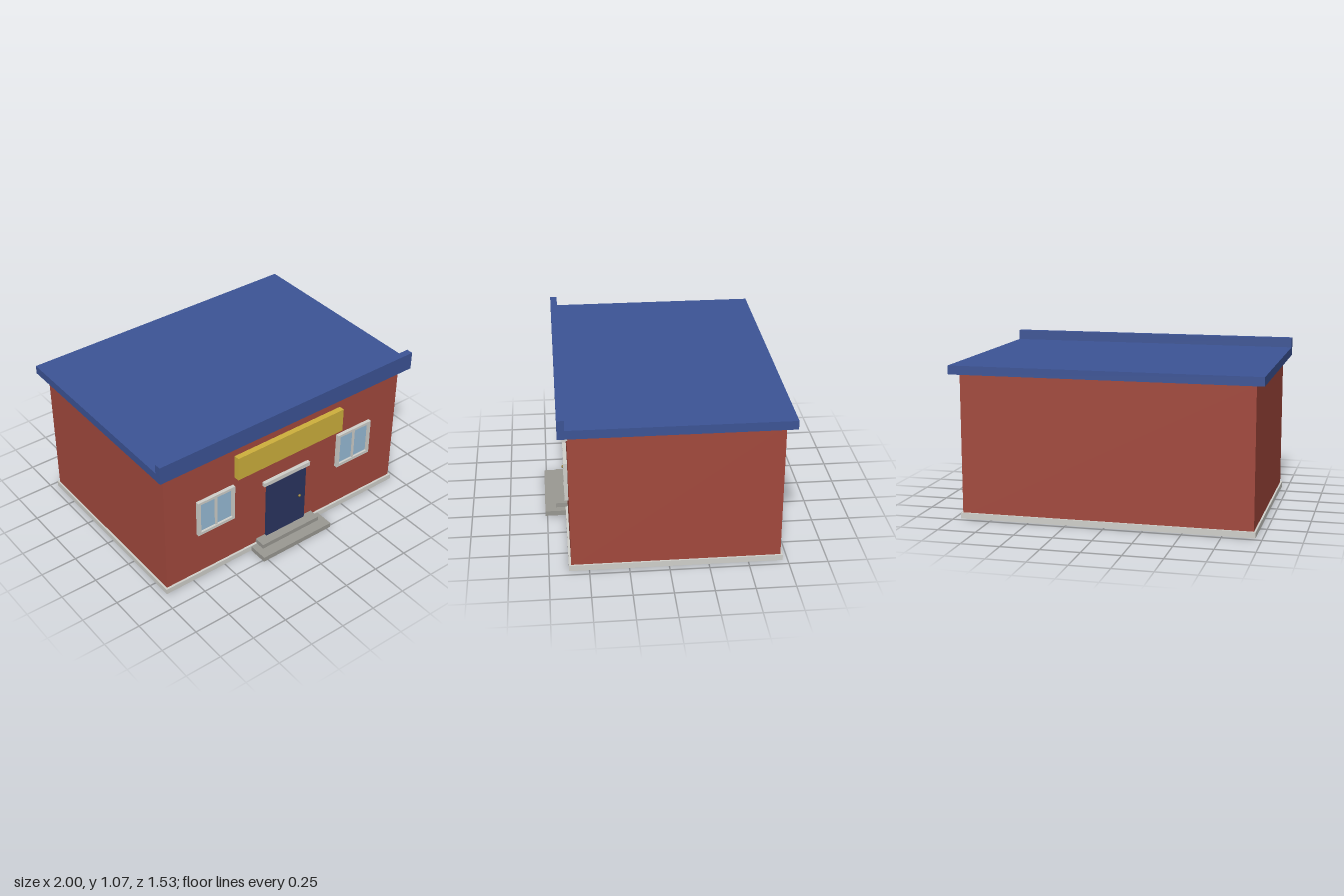
import * as THREE from 'three';

const mat = (color) => new THREE.MeshStandardMaterial({ color });

export function createModel() {
  const model = new THREE.Group();
  model.name = 'shopBuilding';

  const brick = mat(0xa3493d), blue = mat(0x3c5496), trim = mat(0xd0d0cb);
  const yellow = mat(0xceb03c), glass = mat(0x98bcd6), navy = mat(0x2a3560);
  const stone = mat(0x9a9993), brass = mat(0x8a7434);

  // Box given by its lower and upper limits on each axis
  function box(name, material, [x0, x1], [y0, y1], [z0, z1], parent = model) {
    const mesh = new THREE.Mesh(new THREE.BoxGeometry(x1 - x0, y1 - y0, z1 - z0), material);
    mesh.position.set((x0 + x1) / 2, (y0 + y1) / 2, (z0 + z1) / 2);
    mesh.name = name;
    parent.add(mesh);
    return mesh;
  }

  // Main shell
  box('foundation', trim, [-0.957, 0.957], [0, 0.038], [-0.718, 0.627]);
  box('walls', brick, [-0.945, 0.945], [0.02, 0.946], [-0.704, 0.612]);
  box('roofSlab', blue, [-1, 1], [0.946, 1.003], [-0.763, 0.625]);
  box('parapet', blue, [-1, 1], [0.946, 1.068], [0.624, 0.67]);
  box('cornice', trim, [-0.957, 0.957], [0.913, 0.946], [0.608, 0.633]);
  box('signBoard', yellow, [-0.425, 0.425], [0.692, 0.86], [0.629, 0.667]);

  // Entrance
  box('door', navy, [-0.16, 0.16], [0.06, 0.5], [0.605, 0.63]);
  box('doorLintel', trim, [-0.19, 0.187], [0.498, 0.527], [0.605, 0.637]);
  box('lowerStep', stone, [-0.283, 0.283], [0, 0.034], [0.62, 0.763]);
  box('upperStep', stone, [-0.235, 0.235], [0.034, 0.065], [0.612, 0.69]);
  const knob = new THREE.Mesh(new THREE.SphereGeometry(0.01, 16, 10), brass);
  knob.name = 'doorKnob';
  knob.position.set(0.11, 0.277, 0.634);
  model.add(knob);

  // Windows: open frame, recessed glass and a central mullion
  const outline = new THREE.Shape();
  outline.moveTo(-0.142, -0.131).lineTo(0.142, -0.131).lineTo(0.142, 0.131).lineTo(-0.142, 0.131).closePath();
  const opening = new THREE.Path();
  opening.moveTo(-0.122, -0.109).lineTo(-0.122, 0.113).lineTo(0.122, 0.113).lineTo(0.122, -0.109).closePath();
  outline.holes.push(opening);
  const frameGeometry = new THREE.ExtrudeGeometry(outline, { depth: 0.029, bevelEnabled: false });

  for (const side of [-1, 1]) {
    const win = new THREE.Group();
    win.name = side > 0 ? 'leftWindow' : 'rightWindow';
    win.position.set(side * 0.567, 0.493, 0.607);
    const frame = new THREE.Mesh(frameGeometry, trim);
    frame.name = 'windowFrame';
    win.add(frame);
    box('windowGlass', glass, [-0.124, 0.124], [-0.112, 0.115], [0, 0.014], win);
    box('windowMullion', trim, [-0.007, 0.007], [-0.11, 0.114], [0.005, 0.024], win);
    model.add(win);
  }
  return model;
}
